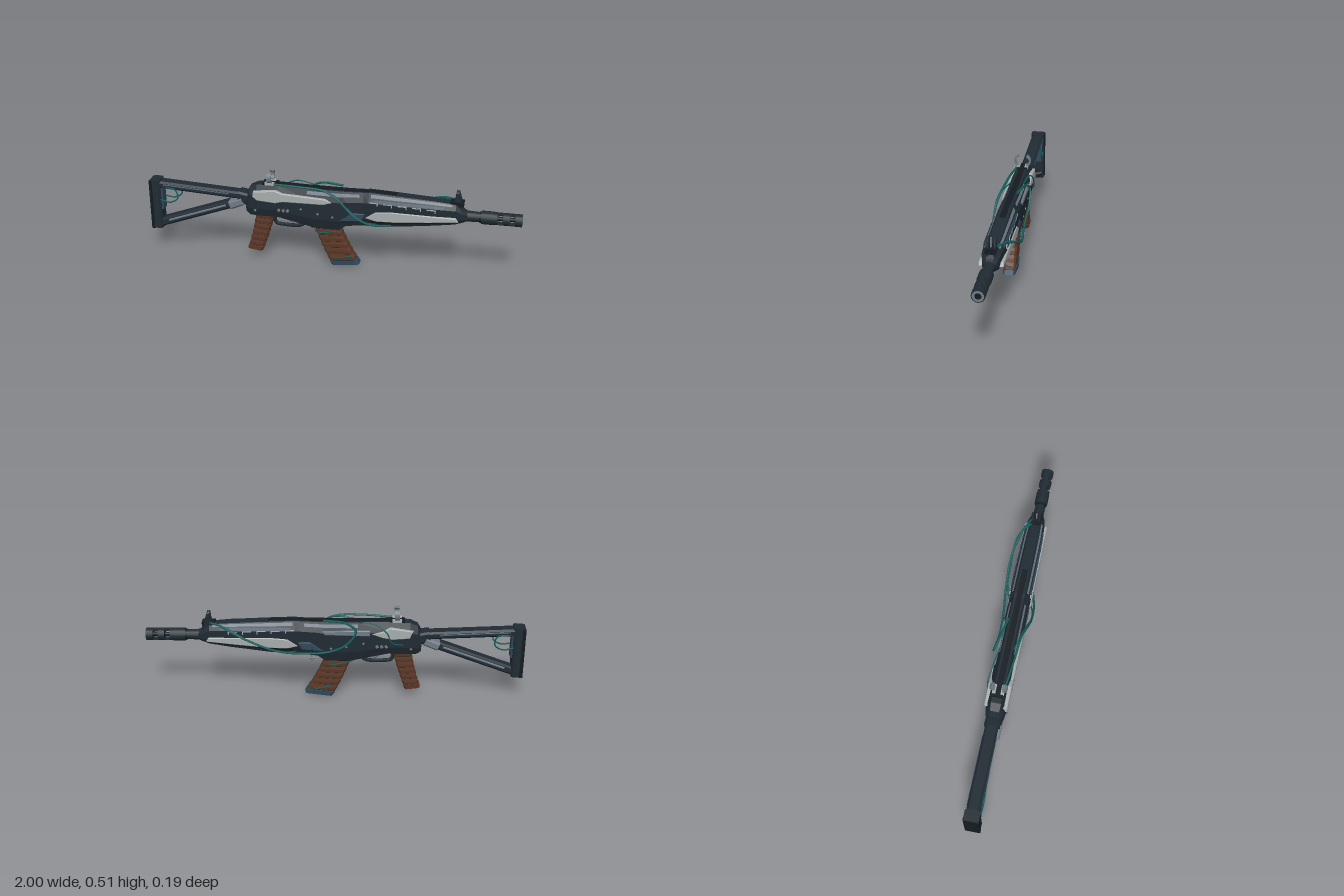
import * as THREE from 'three';

const mat = (name, color) => {
  const m = new THREE.MeshStandardMaterial({ color, side: THREE.DoubleSide });
  m.name = name;
  return m;
};
const V = (x, y, z) => new THREE.Vector3(x, y, z);

// Flat-shaded skin through equal-length rings, with optional end caps
function loft(rings, closed = true) {
  const p = [];
  const tri = (...vs) => vs.forEach(v => p.push(v.x, v.y, v.z));
  const n = rings[0].length;
  for (let i = 0; i + 1 < rings.length; i++) {
    for (let j = 0; j < (closed ? n : n - 1); j++) {
      const a = rings[i][j], b = rings[i][(j + 1) % n];
      const c = rings[i + 1][(j + 1) % n], d = rings[i + 1][j];
      tri(a, b, c); tri(a, c, d);
    }
  }
  if (closed) for (let j = 1; j + 1 < n; j++) {
    const s = rings[0], e = rings[rings.length - 1];
    tri(s[0], s[j + 1], s[j]); tri(e[0], e[j], e[j + 1]);
  }
  const g = new THREE.BufferGeometry();
  g.setAttribute('position', new THREE.Float32BufferAttribute(p, 3));
  g.computeVertexNormals();
  return g;
}

// Chamfered rectangular ring: long axis from point r to point f, half depth w
function slab(r, f, w, c) {
  const d = f.clone().sub(r), len = d.length();
  d.normalize();
  return [[0, c], [c, 0], [len - c, 0], [len, c]].map(([s, i]) => r.clone().addScaledVector(d, s).setZ(w - i))
    .concat([[len, c], [len - c, 0], [c, 0], [0, c]].map(([s, i]) => r.clone().addScaledVector(d, s).setZ(i - w)));
}

// Body cross-section from [x, bottom, top, half width]
const PROFILE = [[1, .5], [.74, 1], [.25, 1], [0, .72]];
function bodyRing([x, bot, top, w]) {
  const half = PROFILE.map(([t, s]) => V(x, bot + (top - bot) * t, w * s));
  return half.concat(half.map(v => V(v.x, v.y, -v.z)).reverse());
}
function sectionAt(secs, x) {
  let i = 0;
  while (i < secs.length - 2 && x > secs[i + 1][0]) i++;
  const t = (x - secs[i][0]) / (secs[i + 1][0] - secs[i][0]);
  return secs[i].map((v, k) => v + (secs[i + 1][k] - v) * t);
}

const RECEIVER = [[-.455, .278, .385, .038], [-.435, .264, .42, .047], [-.395, .262, .438, .052], [-.28, .265, .444, .054],
  [-.1, .226, .44, .054], [.05, .222, .44, .054], [.09, .25, .44, .054], [.2, .262, .444, .052]];
const HANDGUARD = [[.17, .264, .442, .05], [.21, .262, .446, .056], [.35, .272, .44, .056], [.55, .298, .43, .054],
  [.66, .313, .42, .046], [.7, .325, .388, .036], [.72, .332, .375, .026]];

export function createModel() {
  const dark = mat('dark gunmetal', 0x202b33), black = mat('black metal', 0x141b20);
  const blue = mat('blue metal', 0x30475a), steel = mat('steel', 0x707a85);
  const pale = mat('pale plate', 0xa6acac), teal = mat('teal cable', 0x11605c), brown = mat('brown grip', 0x5a3726);

  const root = new THREE.Group(), gun = new THREE.Group();
  root.name = 'rifle'; gun.name = 'rifleParts';
  gun.position.z = .008;
  root.add(gun);
  const add = (name, geo, m) => {
    const o = new THREE.Mesh(geo, m);
    o.name = name; gun.add(o);
    return o;
  };
  const box = (name, m, x, y, z, sx, sy, sz, rz = 0) => {
    const o = add(name, new THREE.BoxGeometry(sx, sy, sz), m);
    o.position.set(x, y, z); o.rotation.z = rz;
    return o;
  };
  const tube = (name, m, pts, r, seg = 40) =>
    add(name, new THREE.TubeGeometry(new THREE.CatmullRomCurve3(pts.map(q => V(...q))), seg, r, 6), m);
  const cyl = (name, m, x0, x1, r0, r1 = r0, n = 16) => {
    const o = add(name, new THREE.CylinderGeometry(r1, r0, x1 - x0, n), m);
    o.rotation.z = -Math.PI / 2;
    o.position.set((x0 + x1) / 2, .352, 0);
    return o;
  };
  // Chamfered beam in the x-y plane
  const bar = (name, m, x0, y0, x1, y1, h, w, c = .01) => {
    const n = V(y0 - y1, x1 - x0, 0).setLength(h / 2);
    return add(name, loft([V(x0, y0, 0), V(x1, y1, 0)].map(q => slab(q.clone().sub(n), q.clone().add(n), w, c))), m);
  };
  // Thin plate laid on one face of a body
  const patch = (name, m, secs, x0, x1, edge, a, b) => {
    const xs = [x0, ...secs.map(s => s[0]).filter(x => x > x0 && x < x1), x1];
    for (const side of [1, -1]) {
      const rings = xs.map(x => {
        const r = bodyRing(sectionAt(secs, x)), p = r[edge], q = r[edge + 1];
        const n = V(0, p.z - q.z, p.y - q.y).negate().setLength(.004);
        n.set(0, Math.abs(n.y), Math.abs(n.z));
        return [a, b].map(t => { const v = p.clone().lerp(q, t).add(n); return V(v.x, v.y, v.z * side); });
      });
      add(name, loft(rings, false), m);
    }
  };
  // Raised side plate from an outline
  const plate = (name, m, pts, z, depth, sides = [1, -1]) => {
    for (const s of sides) {
      const g = new THREE.ExtrudeGeometry(new THREE.Shape(pts.map(q => new THREE.Vector2(...q))),
        { depth, bevelEnabled: true, bevelThickness: .004, bevelSize: .004, bevelSegments: 1 });
      add(name, g, m).position.z = s > 0 ? z : -z - depth;
    }
  };

  // Body
  add('receiver', loft(RECEIVER.map(bodyRing)), dark);
  add('handguard', loft(HANDGUARD.map(bodyRing)), dark);
  box('topRib', black, .02, .441, 0, .66, .01, .03);
  patch('receiverTopStrip', steel, RECEIVER, -.12, .16, 0, .2, .5);
  patch('handguardTopStrip', steel, HANDGUARD, .22, .64, 0, .15, .48);
  patch('handguardMidStrip', blue, HANDGUARD, .23, .6, 0, .65, .95);
  patch('lowerStrip', black, HANDGUARD, .22, .64, 2, .2, .6);

  // Side plates
  plate('receiverPlate', pale, [[-.405, .405], [-.29, .418], [-.25, .405], [-.02, .395], [.01, .382], [-.03, .37],
    [-.25, .366], [-.29, .355], [-.39, .362], [-.41, .38]], .035, .021, [1]);
  plate('rearReceiverPlate', pale, [[-.405, .4], [-.29, .416], [-.25, .395], [-.2, .385], [-.25, .368],
    [-.3, .358], [-.39, .365]], .035, .021, [-1]);
  plate('receiverBackRail', steel, [[-.18, .4], [.06, .395], [.05, .38], [-.18, .375]], .04, .013, [-1]);
  plate('handguardPlate', pale, [[.2, .315], [.25, .348], [.33, .355], [.53, .353], [.66, .352], [.67, .338],
    [.52, .322], [.35, .306], [.25, .303]], .035, .022);
  plate('portCover', blue, [[.06, .285], [.13, .33], [.19, .33], [.17, .295]], .045, .008);
  for (const s of [1, -1]) {
    for (let i = 0; i < 5; i++) {
      const x = .235 + i * .075;
      box('ventEdge', pale, x, .402 - i * .003, s * .05, .045, .005, .016);
      box('ventTick', pale, x + .022, .395 - i * .003, s * .052, .005, .016, .014);
    }
    for (let i = 0; i < 3; i++) box('receiverMark', steel, -.27 + i * .024, .313, s * .055, .014, .016, .006, -.4);
    for (const [x, y] of [[-.4, .3], [-.15, .33], [-.06, .31], [.02, .3]])
      box('pin', steel, x, y, s * .055, .01, .01, .006, .78);
  }

  // Barrel and slotted muzzle
  cyl('barrel', dark, .7, .8, .029, .026);
  cyl('muzzleCollar', dark, .79, .855, .035);
  cyl('collarBand', black, .78, .79, .029);
  cyl('muzzleCore', black, .85, .99, .011);
  for (const [a, b] of [[.85, .872], [.9, .935], [.962, .998]]) cyl('muzzleRing', dark, a, b, .033);
  for (const s of [1, -1]) box('muzzleBridge', dark, .925, .352 + s * .026, 0, .14, .01, .022);
  const face = add('muzzleFace', new THREE.RingGeometry(.016, .028, 20), steel);
  face.rotation.y = Math.PI / 2; face.position.set(1, .352, 0);
  const bore = add('bore', new THREE.CircleGeometry(.016, 16), black);
  bore.rotation.y = Math.PI / 2; bore.position.set(.999, .352, 0);

  // Front sight prongs
  for (const z of [-.018, .018]) plate('sightProng', dark, [[.635, .4], [.655, .44], [.66, .48], [.668, .48], [.68, .44], [.69, .39]], z - .005, .006, [1]);
  box('sightPost', steel, .665, .445, 0, .012, .07, .007);
  box('sightBase', black, .663, .42, 0, .07, .025, .05);

  // Rear sight claws
  for (const s of [1, -1]) {
    const c = new THREE.Shape();
    c.absarc(0, 0, .032, 1.85, 4.5, false);
    c.absarc(0, 0, .023, 4.5, 1.85, true);
    const claw = add('rearSightClaw', new THREE.ExtrudeGeometry(c, { depth: .025, bevelEnabled: false, curveSegments: 10 }), steel);
    claw.rotation.y = Math.PI / 2;
    claw.position.set(-.338, .481, s * .014);
    if (s < 0) claw.scale.x = -1;
    box('rearSightFoot', pale, -.326, .447, s * .022, .05, .015, .018);
  }
  box('rearSightBase', black, -.326, .443, 0, .08, .012, .055);

  // Stock frame
  bar('stockTopBar', dark, -.98, .388, -.44, .362, .04, .034);
  bar('stockLowerBar', dark, -.965, .152, -.44, .345, .045, .03);
  bar('buttPlate', dark, -.967, .412, -.967, .13, .058, .039);
  bar('buttPad', black, -.99, .408, -.99, .127, .02, .041, .004);
  bar('buttInsert', blue, -.938, .37, -.938, .24, .02, .026, .005);
  bar('stockKnuckle', steel, -.545, .306, -.475, .336, .046, .046);
  bar('stockHinge', dark, -.5, .36, -.44, .35, .06, .04);
  bar('lowerBarStripe', steel, -.9, .18, -.57, .301, .012, .033, .003);
  bar('topBarStripe', blue, -.92, .388, -.55, .37, .01, .037, .003);
  for (const s of [1, -1]) tube('stockCable', teal, [[-.93, .375, s * .03], [-.85, .365, s * .036], [-.84, .32, s * .036],
    [-.88, .293, s * .036], [-.94, .3, s * .034]], .004, 24);

  // Wrapped handle: brown blocks separated by dark seams
  const wrapped = (name, R, F, w, n, bend, endName) => {
    const ring = (t, grow) => {
      const b = bend * Math.sin(Math.PI * t);
      const r = V(R[0] + (R[2] - R[0]) * t - b, R[1] + (R[3] - R[1]) * t, 0);
      const f = V(F[0] + (F[2] - F[0]) * t - b, F[1] + (F[3] - F[1]) * t, 0);
      const d = f.clone().sub(r).setLength(grow);
      return slab(r.sub(d), f.add(d), w + grow, .01);
    };
    const end = .9;
    add(name + 'Core', loft([0, .25, .5, .75, 1].map(t => ring(t, -.004))), black);
    for (let i = 0; i < n; i++) {
      const a = i / n * end, b = (i + 1) / n * end - .014;
      add(name + 'Block', loft([ring(a, 0), ring((a + b) / 2, .002), ring(b, 0)]), brown);
    }
    add(endName, loft([ring(end, .003), ring(1, .002)]), name === 'magazine' ? blue : brown);
  };
  wrapped('grip', [-.402, .275, -.455, .055], [-.305, .275, -.378, .045], .026, 6, -.004, 'gripEnd');
  wrapped('magazine', [-.09, .25, .015, .003], [.042, .25, .158, .02], .03, 6, .008, 'magazineFoot');
  bar('magazineWell', dark, -.1, .237, .055, .237, .04, .039);
  // Cable loops around the magazine
  for (const [x, y] of [[-.012, .2], [.065, .058]]) {
    const loop = [];
    for (let i = 0; i < 14; i++) {
      const a = i / 14 * Math.PI * 2;
      loop.push(V(x + .075 * Math.cos(a), y + .008 * Math.sin(2 * a), .039 * Math.sin(a)));
    }
    add('magazineCable', new THREE.TubeGeometry(new THREE.CatmullRomCurve3(loop, true), 40, .003, 6, true), teal);
  }

  // Trigger and guard
  tube('triggerGuard', dark, [[-.31, .26, 0], [-.3, .215, 0], [-.27, .208, 0], [-.17, .21, 0], [-.145, .225, 0], [-.13, .25, 0]], .01);
  tube('trigger', steel, [[-.23, .27, 0], [-.225, .24, 0], [-.205, .222, 0]], .007, 10);

  // Loose cables on both flanks
  tube('frontCable', teal, [[-.3, .448, .03], [-.16, .452, .045], [-.02, .445, .056], [.06, .405, .076], [.13, .335, .082],
    [.22, .287, .076], [.33, .276, .045]], .006, 60);
  tube('frontThinCable', teal, [[-.1, .44, .03], [.02, .432, .06], [.1, .37, .078], [.18, .3, .074], [.26, .275, .04]], .0035, 50);
  tube('backCable', teal, [[.66, .43, -.02], [.58, .42, -.06], [.45, .36, -.094], [.3, .3, -.092], [.15, .28, -.076],
    [.02, .29, -.07], [-.07, .34, -.076], [-.11, .41, -.072], [-.06, .445, -.055], [.06, .45, -.03]], .006, 80);
  tube('backThinCable', teal, [[.64, .43, -.01], [.55, .405, -.08], [.42, .34, -.088], [.28, .29, -.08], [.2, .275, -.04]], .0035, 50);
  tube('rearThinCable', teal, [[-.1, .44, -.04], [-.2, .445, -.055], [-.27, .4, -.068], [-.3, .34, -.066], [-.36, .32, -.05]], .0035, 40);

  // Hanging star charm
  tube('charmCord', black, [[.12, .3, -.06], [.12, .285, -.069], [.12, .268, -.07]], .002, 8);
  for (const s of [[.006, .024, .006], [.024, .006, .006], [.006, .006, .014]])
    add('charm', new THREE.OctahedronGeometry(1).scale(...s), steel).position.set(.12, .252, -.07);

  return root;
}
